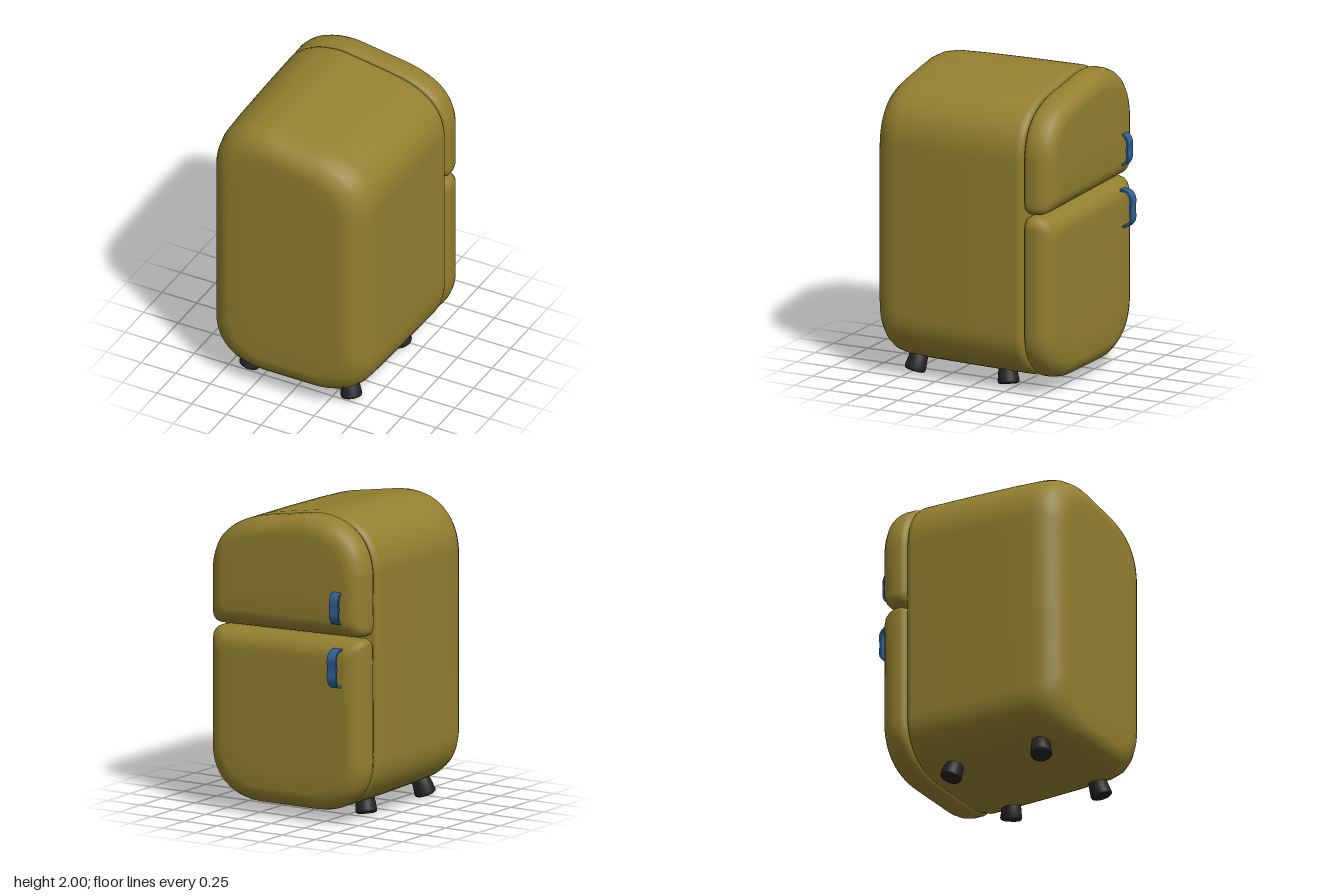
import * as THREE from 'three';

const paint = new THREE.MeshStandardMaterial({ color: 0x94802f });
const blue = new THREE.MeshStandardMaterial({ color: 0x2f6096 });
const black = new THREE.MeshStandardMaterial({ color: 0x222222 });

const W = 0.585;

// Outline pieces: wide rounded bottom, lopsided rounded top
function bottomCorners(s) {
  s.moveTo(-W, 0.42);
  s.bezierCurveTo(-W, 0.2, -0.43, 0.08, -0.2, 0.08);
  s.lineTo(0.2, 0.08);
  s.bezierCurveTo(0.43, 0.08, W, 0.2, W, 0.42);
}
function topCorners(s) {
  s.lineTo(W, 1.55);
  s.bezierCurveTo(W, 1.78, 0.46, 1.9, 0.2, 1.945);
  s.lineTo(-0.15, 2.0);
  s.bezierCurveTo(-0.42, 2.01, -W, 1.87, -W, 1.6);
}

// Loft an outline along z; each station is [z, inset]
function loft(shape, stations, count = 112) {
  shape.autoClose = true;
  const pts = shape.getSpacedPoints(count).slice(0, count);
  const box = new THREE.Box2().setFromPoints(pts);
  const c = box.getCenter(new THREE.Vector2());
  const half = box.getSize(new THREE.Vector2()).multiplyScalar(0.5);
  const pos = [], idx = [];
  for (const [z, d] of stations) {
    for (const p of pts) {
      pos.push(c.x + (p.x - c.x) * (1 - d / half.x), c.y + (p.y - c.y) * (1 - d / half.y), z);
    }
  }
  const n = stations.length;
  const first = n * count, last = first + 1;
  pos.push(c.x, c.y, stations[0][0], c.x, c.y, stations[n - 1][0]);
  for (let j = 0; j < count; j++) {
    const k = (j + 1) % count;
    for (let i = 0; i < n - 1; i++) {
      const a = i * count + j, b = i * count + k;
      idx.push(a, b, b + count, a, b + count, a + count);
    }
    idx.push(first, k, j, last, (n - 1) * count + j, (n - 1) * count + k);
  }
  const g = new THREE.BufferGeometry();
  g.setAttribute('position', new THREE.Float32BufferAttribute(pos, 3));
  g.setIndex(idx);
  g.computeVertexNormals();
  return g;
}

// Curved strap handle: a thin box bent along an arch
function handleGeometry(y0, y1, zDoor, depth) {
  const v = (y, z) => new THREE.Vector3(0, y, z);
  const path = new THREE.CatmullRomCurve3([
    v(y0 + 0.005, zDoor + 0.03), v(y0 + 0.008, zDoor - depth * 0.45), v(y0 + 0.045, zDoor - depth),
    v((y0 + y1) / 2, zDoor - depth),
    v(y1 - 0.045, zDoor - depth), v(y1 - 0.008, zDoor - depth * 0.45), v(y1 - 0.005, zDoor + 0.03),
  ]);
  const g = new THREE.BoxGeometry(0.07, 1, 0.014, 2, 32, 1);
  const p = g.attributes.position;
  for (let i = 0; i < p.count; i++) {
    const t = THREE.MathUtils.clamp(p.getY(i) + 0.5, 0, 1);
    const c = path.getPoint(t), d = path.getTangent(t);
    const width = 0.78 + 0.22 * Math.sin(Math.PI * t);
    p.setXYZ(i, p.getX(i) * width, c.y - d.z * p.getZ(i), c.z + d.y * p.getZ(i));
  }
  g.computeVertexNormals();
  return g;
}

export function createModel() {
  const model = new THREE.Group();
  const add = (name, geometry, material) => {
    const m = new THREE.Mesh(geometry, material);
    m.name = name;
    model.add(m);
    return m;
  };

  // Cabinet, softly rounded at the rear
  const cabinet = new THREE.Shape();
  bottomCorners(cabinet);
  topCorners(cabinet);
  add('cabinet', loft(cabinet, [
    [-0.42, 0.3], [-0.42, 0.03], [-0.405, 0.01], [-0.37, 0], [0, 0.004], [0.3, 0.01], [0.5, 0.018],
    [0.57, 0.032], [0.62, 0.06], [0.655, 0.095], [0.68, 0.14], [0.69, 0.19], [0.69, 0.32],
  ]), paint);

  // Pillowed doors, sharing the cabinet outline
  const doorStations = [
    [-0.628, 0.22], [-0.626, 0.12], [-0.62, 0.085], [-0.605, 0.052], [-0.58, 0.024],
    [-0.55, 0.008], [-0.51, 0], [-0.46, 0], [-0.435, 0.013], [-0.42, 0.035], [-0.415, 0.08],
  ];
  const r = 0.07;
  const lower = new THREE.Shape();
  bottomCorners(lower);
  lower.lineTo(W, 1.195 - r);
  lower.quadraticCurveTo(W, 1.195, W - r, 1.197);
  lower.lineTo(-W + r, 1.22);
  lower.quadraticCurveTo(-W, 1.222, -W, 1.222 - r);
  add('lowerDoor', loft(lower, doorStations), paint);

  const upper = new THREE.Shape();
  upper.moveTo(-W, 1.237 + r);
  upper.quadraticCurveTo(-W, 1.237, -W + r, 1.235);
  upper.lineTo(W - r, 1.212);
  upper.quadraticCurveTo(W, 1.21, W, 1.21 + r);
  topCorners(upper);
  add('upperDoor', loft(upper, doorStations), paint);

  // Door handles
  add('upperHandle', handleGeometry(1.33, 1.535, -0.62, 0.04), blue).position.x = -0.42;
  add('lowerHandle', handleGeometry(0.92, 1.165, -0.625, 0.058), blue).position.x = -0.42;

  // Splayed tapered feet
  const profile = [[0, -0.066], [0.056, -0.066], [0.066, -0.06], [0.07, -0.048], [0.055, 0.075], [0, 0.075]]
    .map(([x, y]) => new THREE.Vector2(x, y));
  const footGeometry = new THREE.LatheGeometry(profile, 24);
  const up = new THREE.Vector3(0, 1, 0);
  for (const [end, z, sz] of [['front', -0.2, -1], ['rear', 0.455, 1]]) {
    for (const [side, sx] of [['Left', -1], ['Right', 1]]) {
      const foot = add(`${end}${side}Foot`, footGeometry, black);
      foot.position.set(sx * 0.355, 0.083, z);
      foot.quaternion.setFromUnitVectors(up, new THREE.Vector3(-sx * 0.25, 1, -sz * 0.2).normalize());
    }
  }
  return model;
}
